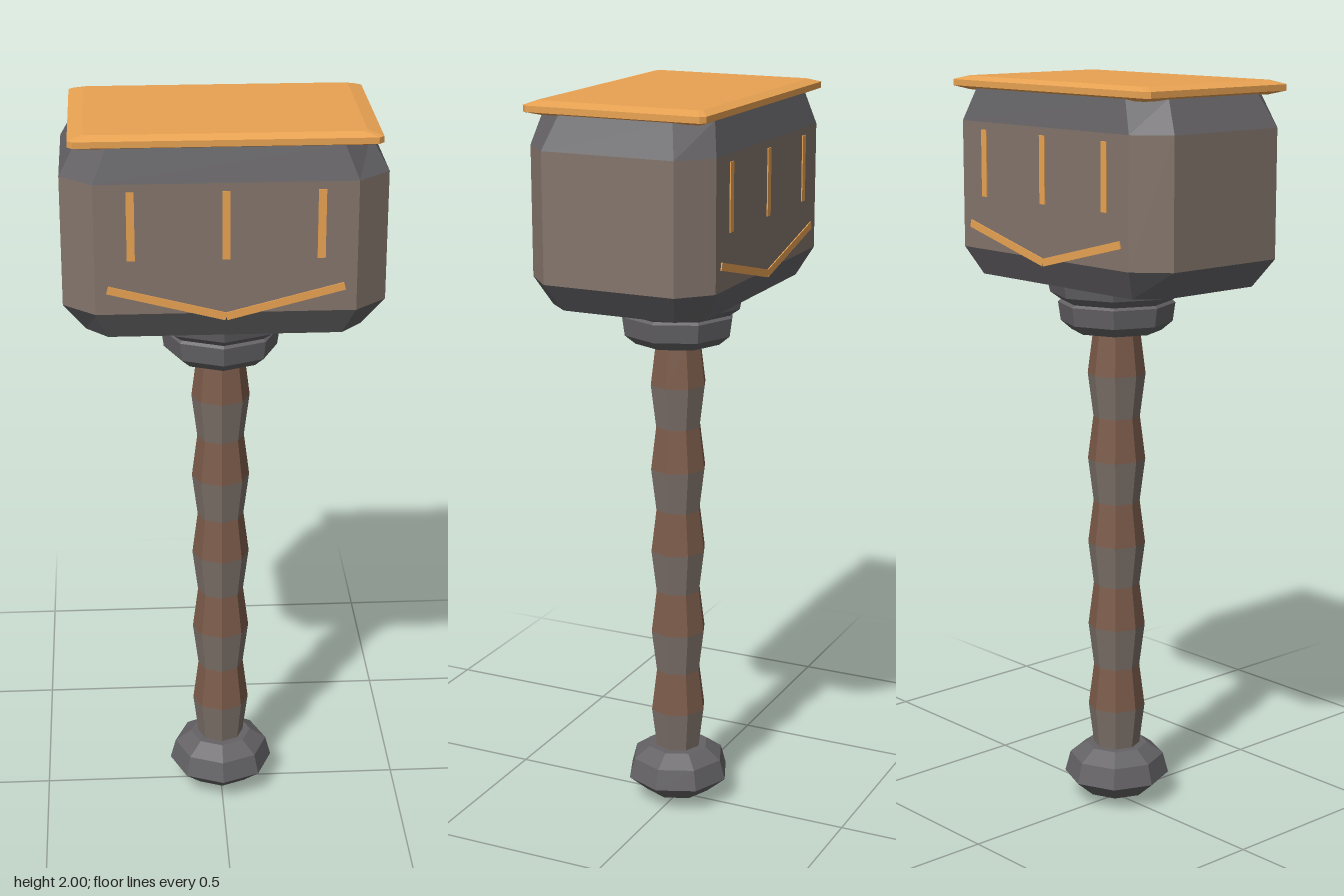
import * as THREE from 'three';

const material = (color) => new THREE.MeshStandardMaterial({ color, flatShading: true });
const iron = material(0x646265);
const stone = material(0x83746b);
const wood = material(0x7b5b4a);
const grip = material(0x7b6f68);
const gold = material(0xe8a252);

// Rectangle with cut corners, counter-clockwise seen from above
function cutRect([y, hx, hz, cx, cz]) {
  return [[hx, cz], [hx, -cz], [cx, -hz], [-cx, -hz], [-hx, -cz], [-hx, cz], [-cx, hz], [cx, hz]]
    .map(([x, z]) => new THREE.Vector3(x, y, z));
}

// Regular eight-sided ring
function ring([y, r]) {
  return Array.from({ length: 8 }, (_, i) => {
    const a = i * Math.PI / 4;
    return new THREE.Vector3(r * Math.cos(a), y, -r * Math.sin(a));
  });
}

// Faceted skin through rings listed from bottom to top, with optional caps
function loft(name, rings, mat, capBottom = true, capTop = true) {
  const pts = [];
  const n = rings[0].length;
  for (let k = 0; k + 1 < rings.length; k++) {
    const lo = rings[k], hi = rings[k + 1];
    for (let i = 0; i < n; i++) {
      const j = (i + 1) % n;
      pts.push(lo[i], lo[j], hi[j], lo[i], hi[j], hi[i]);
    }
  }
  const top = rings[rings.length - 1], bottom = rings[0];
  for (let i = 1; i + 1 < n; i++) {
    if (capTop) pts.push(top[0], top[i], top[i + 1]);
    if (capBottom) pts.push(bottom[0], bottom[i + 1], bottom[i]);
  }
  const geometry = new THREE.BufferGeometry().setFromPoints(pts);
  geometry.computeVertexNormals();
  const mesh = new THREE.Mesh(geometry, mat);
  mesh.name = name;
  return mesh;
}

// Thin inlay bar between two points of the head's face
function inlay(name, x1, y1, x2, y2, side) {
  const length = Math.hypot(x2 - x1, y2 - y1);
  const bar = new THREE.Mesh(new THREE.BoxGeometry(length, 0.02, 0.012), gold);
  bar.position.set((x1 + x2) / 2, (y1 + y2) / 2, side * 0.252);
  bar.rotation.z = Math.atan2(y2 - y1, x2 - x1);
  bar.name = name;
  return bar;
}

export function createModel() {
  const model = new THREE.Group();
  model.name = 'hammer';

  // Pommel
  model.add(loft('pommel', [[0, 0.001], [0.025, 0.09], [0.072, 0.145], [0.128, 0.13], [0.16, 0.085]].map(ring), iron));

  // Handle: ten alternating wrapped bands, swelling and narrowing
  const handle = new THREE.Group();
  handle.name = 'handle';
  const bands = 10, y0 = 0.155, y1 = 1.335;
  const station = (i) => ring([y0 + (y1 - y0) * i / bands, i % 2 ? 0.078 : 0.063]);
  for (let i = 0; i < bands; i++) {
    handle.add(loft('handleBand', [station(i), station(i + 1)], i % 2 ? wood : grip, false, false));
  }
  model.add(handle);

  // Two stepped collars under the head
  model.add(loft('lowerCollar', [[1.335, 0.12], [1.36, 0.15], [1.41, 0.157], [1.425, 0.14]].map(ring), iron));
  model.add(loft('upperCollar', [[1.41, 0.14], [1.437, 0.178], [1.48, 0.188]].map(ring), iron));

  // Head: dark bevels below and above a paler middle band
  const head = new THREE.Group();
  head.name = 'head';
  const [base, low, high, crown] = [
    [1.475, 0.35, 0.215, 0.295, 0.155],
    [1.55, 0.407, 0.255, 0.325, 0.18],
    [1.885, 0.407, 0.255, 0.325, 0.18],
    [1.97, 0.36, 0.235, 0.29, 0.155],
  ].map(cutRect);
  head.add(loft('headBottom', [base, low], iron, true, false));
  head.add(loft('headMiddle', [low, high], stone, false, false));
  head.add(loft('headTop', [high, crown], iron, false, true));
  model.add(head);

  // Bevelled top plate
  model.add(loft('topPlate', [
    [1.964, 0.345, 0.222, 0.335, 0.212],
    [1.974, 0.383, 0.249, 0.37, 0.236],
    [1.99, 0.383, 0.249, 0.37, 0.236],
    [2, 0.345, 0.224, 0.335, 0.214],
  ].map(cutRect), gold));

  // Inlays on front and back
  for (const side of [1, -1]) {
    for (const x of [-0.235, 0, 0.235]) model.add(inlay('verticalInlay', x, 1.69, x, 1.865, side));
    for (const s of [1, -1]) model.add(inlay('slantedInlay', 0, 1.54, s * 0.295, 1.615, side));
  }
  return model;
}
